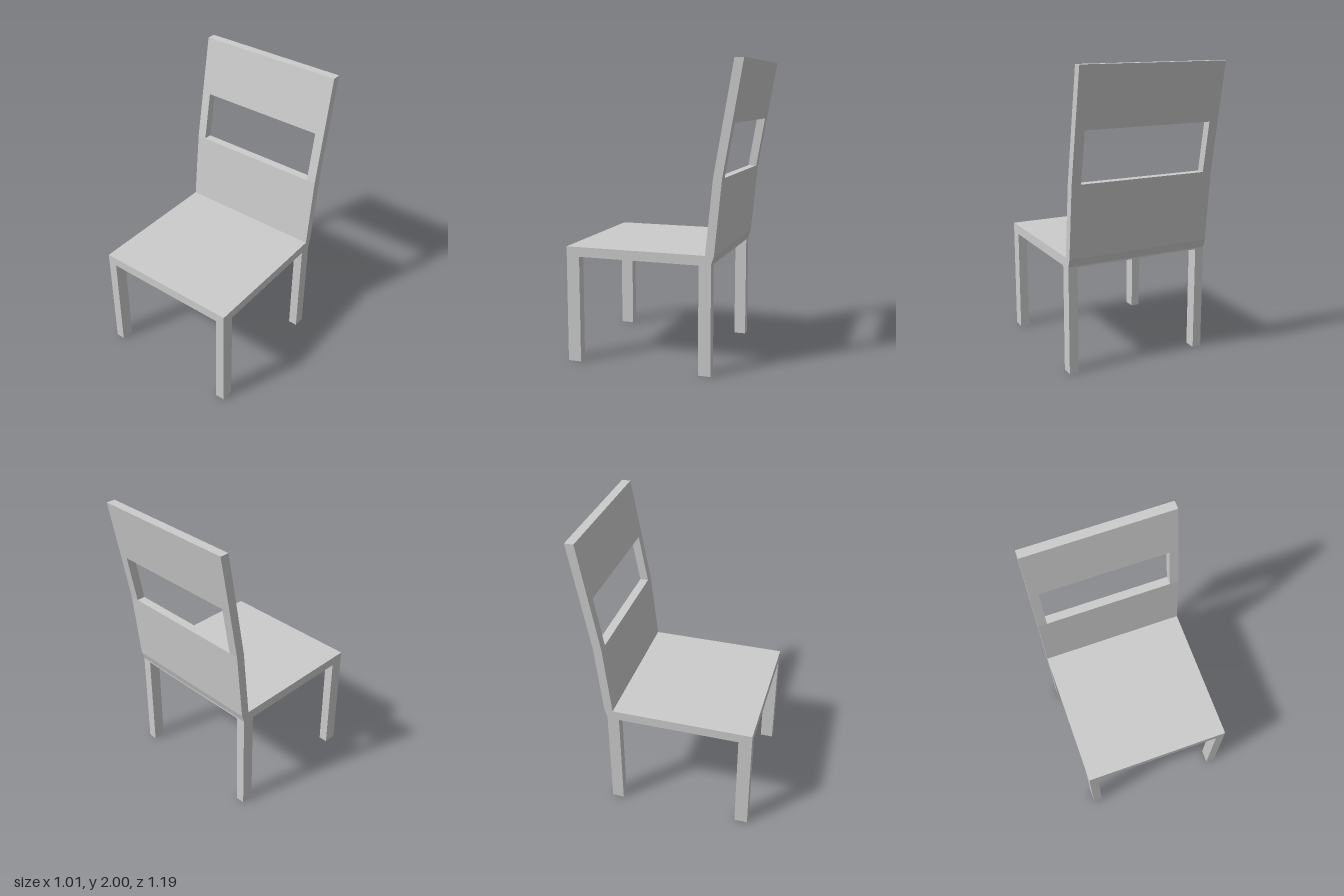
import * as THREE from 'three';

const W = 0.505;        // half width of the chair
const INNER = 0.442;    // half width of the openings
const SEAT_BOTTOM = 0.72;

const material = new THREE.MeshStandardMaterial({
  color: 0xcccccc, flatShading: true, side: THREE.DoubleSide,
});

// Extrude a [z, y] side profile from x0 to x1
function slab(name, profile, x0, x1) {
  const shape = new THREE.Shape(profile.map(([z, y]) => new THREE.Vector2(z, y)));
  const geometry = new THREE.ExtrudeGeometry(shape, { depth: x1 - x0, bevelEnabled: false });
  geometry.rotateY(-Math.PI / 2).translate(x1, 0, 0);
  const mesh = new THREE.Mesh(geometry, material);
  mesh.name = name;
  return mesh;
}

// Hollow square leg, open at the foot
function leg(name, x0, x1, z0, z1) {
  const geometry = new THREE.CylinderGeometry(Math.SQRT1_2, Math.SQRT1_2, 1, 4, 1, true);
  geometry.rotateY(Math.PI / 4).scale(x1 - x0, SEAT_BOTTOM, z1 - z0);
  geometry.translate((x0 + x1) / 2, SEAT_BOTTOM / 2, (z0 + z1) / 2);
  const mesh = new THREE.Mesh(geometry, material);
  mesh.name = name;
  return mesh;
}

export function createModel() {
  const chair = new THREE.Group();
  chair.name = 'chair';

  // Seat running up into the lower back panel
  chair.add(slab('seatAndLowerBack', [
    [0.595, SEAT_BOTTOM], [0.595, 0.785], [-0.36, 0.785], [-0.408, 1.27],
    [-0.466, 1.27], [-0.418, 0.785], [-0.4, 0.73], [-0.4, SEAT_BOTTOM],
  ], -W, W));

  // Upper back panel above the opening
  chair.add(slab('upperBack', [
    [-0.467, 1.61], [-0.535, 2], [-0.595, 2], [-0.526, 1.61],
  ], -W, W));

  for (const side of [1, -1]) {
    const label = side > 0 ? 'left' : 'right';
    const [x0, x1] = side > 0 ? [INNER, W] : [-W, -INNER];

    // Upright beside the opening
    chair.add(slab(label + 'BackPost', [
      [-0.408, 1.27], [-0.467, 1.61], [-0.526, 1.61], [-0.466, 1.27],
    ], x0, x1));

    chair.add(leg(label + 'FrontLeg', x0, x1, 0.505, 0.595));
    chair.add(leg(label + 'BackLeg', x0, x1, -0.4, -0.318));
  }
  return chair;
}
